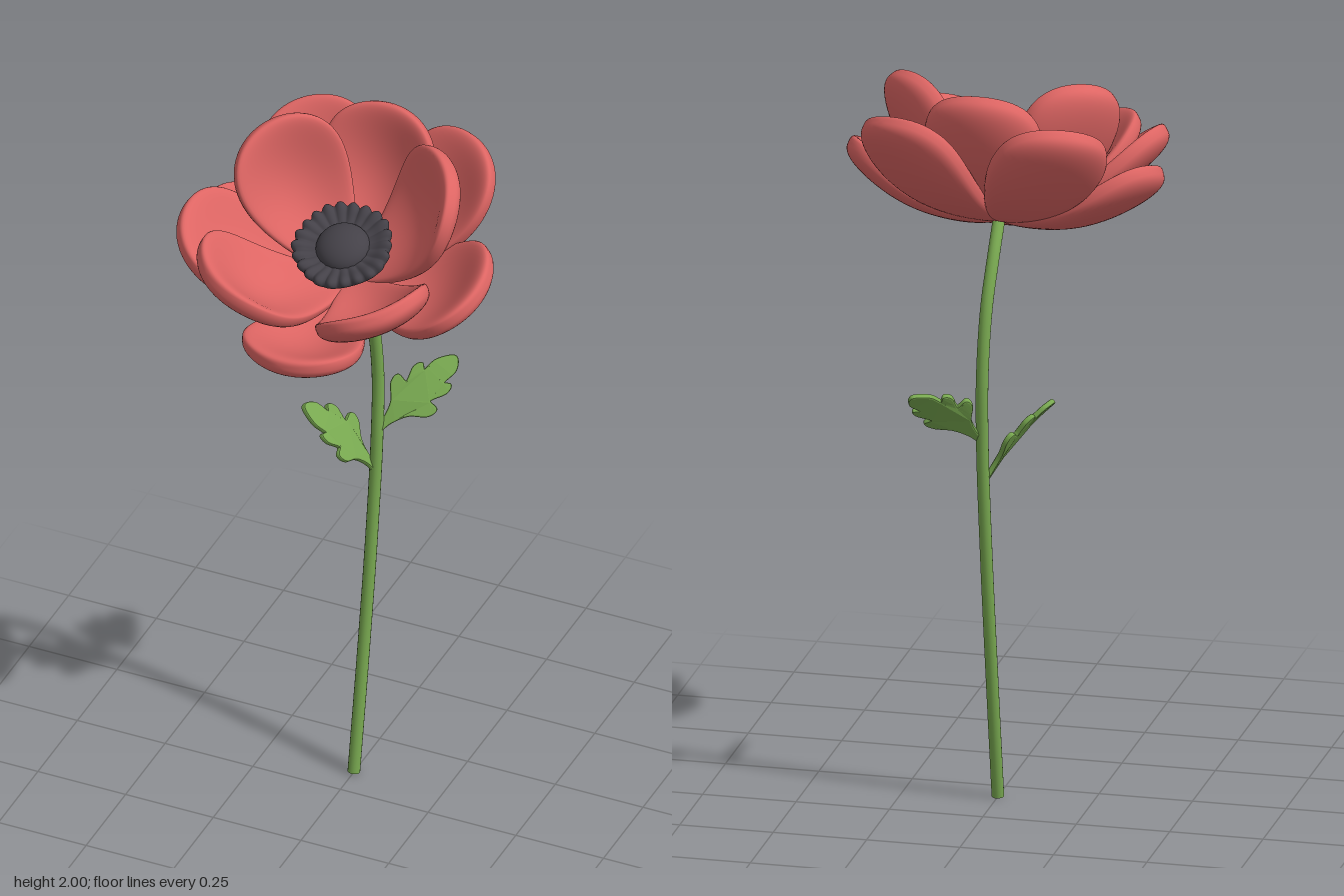
import * as THREE from 'three';
import { mergeVertices } from 'three/addons/utils/BufferGeometryUtils.js';

const V = (x, y, z) => new THREE.Vector3(x, y, z);

function material(name, color) {
  const m = new THREE.MeshStandardMaterial({ color });
  m.name = name;
  return m;
}

// Weld a deformed geometry so its normals are smooth across the seam
function smooth(geo) {
  geo.deleteAttribute('uv');
  geo.deleteAttribute('normal');
  const g = mergeVertices(geo, 1e-5);
  g.computeVertexNormals();
  return g;
}

// Spoon-shaped petal with a padded rim: grows along +z, its hollow faces +y
function petalGeometry(length, width, cup, bow) {
  const geo = new THREE.SphereGeometry(1, 48, 40).rotateX(Math.PI / 2);
  const p = geo.attributes.position;
  for (let i = 0; i < p.count; i++) {
    const t = (p.getZ(i) + 1) / 2;
    const side = p.getX(i) * (0.36 + 0.74 * t);
    const sy = p.getY(i);
    const rim = 1 - sy * sy;
    const thick = Math.sign(sy) * Math.pow(Math.abs(sy), 0.65) * (0.02 + 0.038 * rim) * (0.5 + 0.5 * t);
    const lift = cup * side * side - bow * Math.sin(Math.PI * t);
    p.setXYZ(i, side * width, thick + lift, t * length);
  }
  return smooth(geo);
}

// Funnel of stamens with a ruffled rim
function stamenGeometry() {
  const profile = [[0.001, 0.03], [0.03, 0.04], [0.065, 0.085], [0.105, 0.122], [0.124, 0.14],
    [0.127, 0.153], [0.12, 0.162], [0.105, 0.161], [0.085, 0.153], [0.06, 0.149], [0.001, 0.147]];
  const curve = new THREE.SplineCurve(profile.map(([r, h]) => new THREE.Vector2(r, h)));
  const geo = new THREE.LatheGeometry(curve.getPoints(30), 168);
  const p = geo.attributes.position;
  for (let i = 0; i < p.count; i++) {
    const x = p.getX(i), z = p.getZ(i);
    const r = Math.hypot(x, z), a = Math.atan2(z, x);
    const k = THREE.MathUtils.smoothstep(r, 0.05, 0.12);
    const wave = Math.abs(Math.cos(a * 11)) - 0.5;
    const s = 1 + k * (0.07 * wave + 0.02 * Math.sin(a * 5) + 0.015);
    p.setXYZ(i, x * s, p.getY(i) + k * 0.012 * wave, z * s);
  }
  return smooth(geo);
}

// Lobed leaf, outline mirrored about its midrib, growing along +y
function leafGeometry() {
  const half = [[0.01, 0.04], [0.028, 0.085], [0.062, 0.12], [0.066, 0.148], [0.038, 0.152],
    [0.052, 0.195], [0.046, 0.218], [0.028, 0.21], [0.026, 0.255]];
  const pts = [[0.007, 0], ...half, [0, 0.278],
    ...half.slice().reverse().map(([x, y]) => [-x, y * 0.93]), [-0.007, 0]];
  const shape = new THREE.Shape();
  shape.moveTo(...pts[0]);
  shape.splineThru(pts.slice(1).map(([x, y]) => new THREE.Vector2(x, y)));
  const geo = new THREE.ExtrudeGeometry(shape, {
    depth: 0.007, bevelEnabled: true, bevelThickness: 0.004, bevelSize: 0.004,
    bevelSegments: 2, curveSegments: 50,
  });
  const p = geo.attributes.position;
  for (let i = 0; i < p.count; i++) {
    const x = p.getX(i), y = p.getY(i);
    p.setZ(i, p.getZ(i) + 2 * x * x + 0.012 * Math.sin((Math.PI * y) / 0.275));
  }
  geo.computeVertexNormals();
  return geo;
}

export function createModel() {
  const red = material('petalRed', 0xdd6563);
  const green = material('stemGreen', 0x78a850);
  const dark = material('centreDark', 0x444148);
  const model = new THREE.Group();
  model.name = 'flower';

  const add = (parent, name, geo, mat) => {
    const mesh = new THREE.Mesh(geo, mat);
    mesh.name = name;
    parent.add(mesh);
    return mesh;
  };

  // Curved stem with a cap on its cut end
  const path = new THREE.CatmullRomCurve3([
    V(0, 0.004, -0.085), V(0.003, 0.35, -0.138), V(0.008, 0.7, -0.18), V(0.012, 1.0, -0.205),
    V(0.01, 1.2, -0.215), V(0.005, 1.38, -0.19), V(0, 1.5, -0.137), V(0, 1.59, -0.07),
  ]);
  add(model, 'stem', new THREE.TubeGeometry(path, 60, 0.0165, 16), green);
  const cap = add(model, 'stemEnd', new THREE.CircleGeometry(0.0165, 16), green);
  cap.position.copy(path.getPoint(0));
  cap.quaternion.setFromUnitVectors(V(0, 0, 1), path.getTangent(0).negate());

  // Leaves, each given by its base, direction and facing
  const leafGeo = leafGeometry();
  const leaves = [
    ['leftLeaf', V(0.012, 1.02, -0.207), V(0.15, 0.17, -0.18), V(0.33, 0.6, 0.78)],
    ['rightLeaf', V(0.008, 0.9, -0.197), V(-0.165, 0.21, 0.09), V(0.78, 0.62, 0.1)],
  ];
  for (const [name, base, dir, facing] of leaves) {
    const y = dir.clone().normalize();
    const x = y.clone().cross(facing).normalize();
    const z = x.clone().cross(y);
    const leaf = add(model, name, leafGeo, green);
    leaf.quaternion.setFromRotationMatrix(new THREE.Matrix4().makeBasis(x, y, z));
    leaf.position.copy(base);
  }

  // Flower head, nodding forward
  const head = new THREE.Group();
  head.name = 'flowerHead';
  head.position.set(0, 1.59, -0.07);
  head.rotation.x = THREE.MathUtils.degToRad(22);
  model.add(head);

  // Petals: [angle round the axis, elevation, length]
  const outer = [[0, 24, 0.46], [86, 22, 0.45], [-86, 20, 0.445], [146, 25, 0.495],
    [-146, 25, 0.495], [-72, 33, 0.495]];
  const inner = [[42, 40, 0.485], [-42, 40, 0.485], [125, 47, 0.475], [-125, 47, 0.475], [180, 37, 0.47]];
  const addPetals = (name, list, width, cup, bow) => {
    for (const [angle, elevation, length] of list) {
      const petal = add(head, name, petalGeometry(length, width, cup, bow), red);
      petal.rotation.order = 'YXZ';
      petal.rotation.y = THREE.MathUtils.degToRad(angle);
      petal.rotation.x = -THREE.MathUtils.degToRad(elevation);
    }
  };
  addPetals('outerPetal', outer, 0.192, 0.06, 0.065);
  addPetals('innerPetal', inner, 0.194, 0.075, 0.07);

  // Dark centre: ruffled stamens around a dome
  add(head, 'stamens', stamenGeometry(), dark);
  const dome = add(head, 'dome', new THREE.SphereGeometry(0.072, 32, 20), dark);
  dome.scale.y = 0.65;
  dome.position.y = 0.143;

  return model;
}
